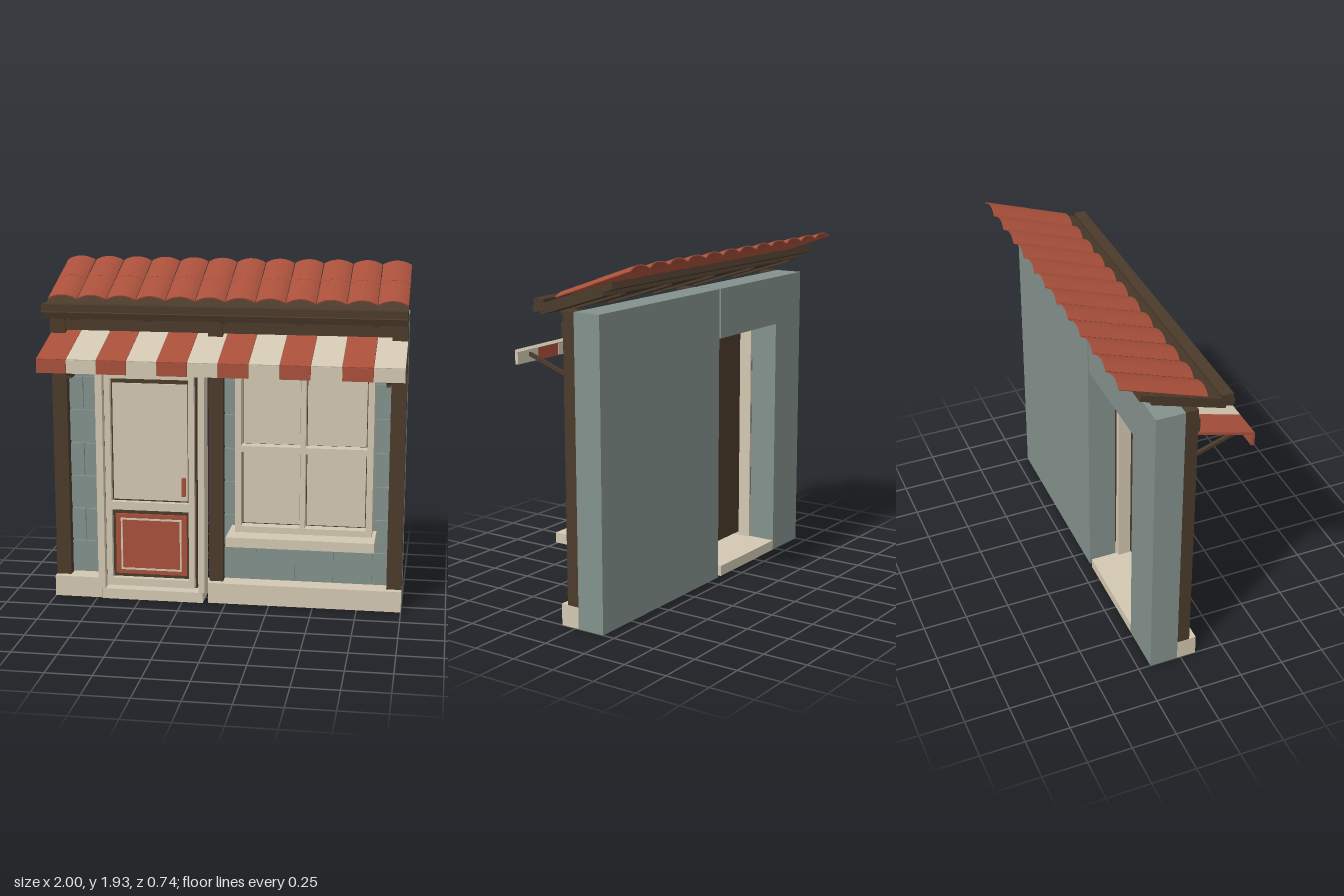
import * as THREE from 'three';

const mat = (name, color, side = THREE.FrontSide) => {
  const m = new THREE.MeshStandardMaterial({ color, side });
  m.name = name;
  return m;
};

export function createModel() {
  const root = new THREE.Group();
  root.name = 'shopfront';
  const cream = mat('cream', 0xd2c7b1);
  const brown = mat('dark wood', 0x4b3a2b);
  const red = mat('terracotta', 0xa9503b);
  const stone = mat('blue grey stone', 0x83918c);
  red.side = THREE.DoubleSide;

  const group = (name) => {
    const g = new THREE.Group();
    g.name = name;
    root.add(g);
    return g;
  };
  // Box given by its limits on each axis
  const box = (parent, name, m, x0, x1, y0, y1, z0, z1) => {
    const mesh = new THREE.Mesh(new THREE.BoxGeometry(x1 - x0, y1 - y0, z1 - z0), m);
    mesh.position.set((x0 + x1) / 2, (y0 + y1) / 2, (z0 + z1) / 2);
    mesh.name = name;
    parent.add(mesh);
    return mesh;
  };
  // Sloping bar whose centre line runs from (z0, y0) to (z1, y1)
  const slope = (parent, name, m, x0, x1, z0, y0, z1, y1, t) => {
    const len = Math.hypot(z1 - z0, y1 - y0);
    const mesh = new THREE.Mesh(new THREE.BoxGeometry(x1 - x0, t, len), m);
    mesh.position.set((x0 + x1) / 2, (y0 + y1) / 2, (z0 + z1) / 2);
    mesh.rotation.x = Math.atan2(y1 - y0, z0 - z1);
    mesh.name = name;
    parent.add(mesh);
    return mesh;
  };
  // Rectangular frame made of four bars
  const frame = (parent, name, m, x0, x1, y0, y1, z0, z1, w) => {
    box(parent, name, m, x0, x0 + w, y0, y1, z0, z1);
    box(parent, name, m, x1 - w, x1, y0, y1, z0, z1);
    box(parent, name, m, x0 + w, x1 - w, y1 - w, y1, z0, z1);
    box(parent, name, m, x0 + w, x1 - w, y0, y0 + w, z0, z1);
  };

  // Masonry walls around the door opening
  const walls = group('walls');
  box(walls, 'windowWall', stone, -0.1, 1, 0, 1.68, -0.18, -0.02);
  box(walls, 'doorSideWall', stone, -1, -0.72, 0, 1.68, -0.18, -0.02);
  box(walls, 'doorLintel', stone, -0.72, -0.115, 1.4, 1.68, -0.18, -0.02);

  // Staggered raised blocks, clipped to the visible wall fields
  const blocks = group('stoneBlocks');
  const fields = [[-0.93, -0.705], [-0.03, 0.93]];
  for (let row = 0; row < 7; row++) {
    const y = 0.13 + row * 0.195;
    for (let i = -6; i < 6; i++) {
      const x = i * 0.222 - 0.045 + (row % 2 ? 0.11 : 0);
      for (const [a, b] of fields) {
        const x0 = Math.max(x, a), x1 = Math.min(x + 0.208, b);
        if (x1 - x0 > 0.02) box(blocks, 'stoneBlock', stone, x0, x1, y, y + 0.18, -0.02, -0.005);
      }
    }
  }

  // Plinth and door step
  const base = group('base');
  box(base, 'plinth', cream, -0.1, 1, 0, 0.12, -0.019, 0.09);
  box(base, 'plinth', cream, -1, -0.725, 0, 0.12, -0.019, 0.09);
  box(base, 'doorStep', cream, -0.72, -0.13, 0, 0.06, -0.18, 0.1);

  // Posts with small capitals, and the beam over them
  const timber = group('timberFrame');
  for (const [a, b] of [[-1, -0.915], [-0.1, -0.02], [0.915, 1]]) {
    box(timber, 'post', brown, a, b, 0.12, 1.68, -0.02, 0.05);
    box(timber, 'capital', brown, a, b, 1.545, 1.625, -0.02, 0.06);
  }
  box(timber, 'beam', brown, -1, 1, 1.56, 1.63, -0.02, 0.045);

  // Door surround
  const surround = group('doorSurround');
  box(surround, 'jamb', cream, -0.74, -0.7, 0.062, 1.43, -0.02, 0.105);
  box(surround, 'jamb', cream, -0.155, -0.118, 0.062, 1.43, -0.02, 0.105);
  box(surround, 'head', cream, -0.7, -0.155, 1.375, 1.43, -0.02, 0.105);

  // Door leaf with a tall upper panel and a painted lower panel
  const door = group('door');
  box(door, 'doorLeaf', brown, -0.692, -0.163, 0.085, 1.348, 0.05, 0.09);
  for (const [a, b] of [[-0.683, -0.65], [-0.205, -0.172]])
    box(door, 'stile', cream, a, b, 0.093, 1.34, 0.09, 0.125);
  for (const [a, b] of [[0.093, 0.138], [0.545, 0.592], [1.305, 1.34]])
    box(door, 'rail', cream, -0.65, -0.205, a, b, 0.09, 0.125);
  box(door, 'upperPanel', cream, -0.641, -0.214, 0.602, 1.275, 0.09, 0.1);
  box(door, 'lowerPanel', red, -0.632, -0.22, 0.16, 0.515, 0.09, 0.105);
  frame(door, 'panelTrim', cream, -0.602, -0.25, 0.185, 0.492, 0.105, 0.11, 0.01);
  box(door, 'handle', red, -0.238, -0.216, 0.645, 0.75, 0.14, 0.158);
  for (const y of [0.66, 0.725])
    box(door, 'handleMount', red, -0.232, -0.222, y, y + 0.01, 0.125, 0.14);

  // Four-light window on a deep sill
  const win = group('window');
  box(win, 'windowBack', brown, 0.07, 0.82, 0.44, 1.42, -0.02, 0.065);
  frame(win, 'windowFrame', cream, 0.06, 0.83, 0.445, 1.43, -0.02, 0.13, 0.035);
  win.children[4].visible = true;
  box(win, 'mullion', cream, 0.427, 0.455, 0.46, 1.4, 0.065, 0.128);
  box(win, 'transom', cream, 0.065, 0.825, 0.91, 0.945, 0.065, 0.132);
  for (const [a, b] of [[0.102, 0.421], [0.461, 0.788]])
    for (const [c, d] of [[0.49, 0.904], [0.951, 1.39]])
      box(win, 'pane', cream, a, b, c, d, 0.065, 0.085);
  box(win, 'sill', cream, 0.025, 0.85, 0.39, 0.445, -0.02, 0.245);

  // Striped awning with hanging valance and side brackets
  const awning = group('awning');
  const step = 2 / 12;
  for (let i = 0; i < 12; i++) {
    const a = -1 + i * step + 0.001, b = a + step - 0.002;
    const m = i % 2 ? cream : red;
    slope(awning, 'awningStripe', m, a, b, 0.365, 1.442, 0, 1.548, 0.016);
    box(awning, 'valance', m, a, b, 1.372, 1.446, 0.352, 0.37);
  }
  for (const s of [-1, 1]) {
    const x = s * 0.9;
    slope(awning, 'bracketArm', brown, x - 0.009, x + 0.009, 0.355, 1.415, 0.04, 1.305, 0.018);
    box(awning, 'bracketPlate', brown, x - 0.012, x + 0.012, 1.285, 1.43, -0.02, 0.06);
  }

  // Timber roof deck, rafters and front beam
  const roof = group('roof');
  slope(roof, 'roofDeck', brown, -1, 1, 0.242, 1.67, -0.262, 1.83, 0.035);
  slope(roof, 'roofLining', brown, -0.995, 0.995, 0.2, 1.658, -0.2, 1.785, 0.025);
  box(roof, 'eavesBeam', brown, -1, 1, 1.67, 1.73, 0.172, 0.236);
  for (let i = -2; i <= 2; i++)
    slope(roof, 'rafter', brown, i * 0.415 - 0.02, i * 0.415 + 0.02, 0.19, 1.648, -0.2, 1.772, 0.025);

  // Curved roof tiles: arched shells in two overlapping rows
  const tiles = group('roofTiles');
  const half = step / 2 - 0.002, sag = 0.025;
  const R = (half * half + sag * sag) / (2 * sag);
  const ang = Math.asin(half / R);
  const arch = new THREE.Shape();
  arch.absarc(0, -R, R, Math.PI / 2 + ang, Math.PI / 2 - ang, true);
  arch.absarc(0, -R, R - 0.006, Math.PI / 2 - ang, Math.PI / 2 + ang, false);
  const rise = Math.atan2(0.165, 0.47);
  const rows = [[0.105, 1.768, 0.25], [-0.125, 1.85, 0.253]];
  for (const [z, y, len] of rows) {
    const geo = new THREE.ExtrudeGeometry(arch, { depth: len, bevelEnabled: false, curveSegments: 8 });
    geo.translate(0, 0, -len);
    for (let i = 0; i < 12; i++) {
      const tile = new THREE.Mesh(geo, red);
      tile.name = 'roofTile';
      tile.position.set(-1 + (i + 0.5) * step, y, z);
      tile.rotation.x = rise;
      tiles.add(tile);
    }
  }
  return root;
}
